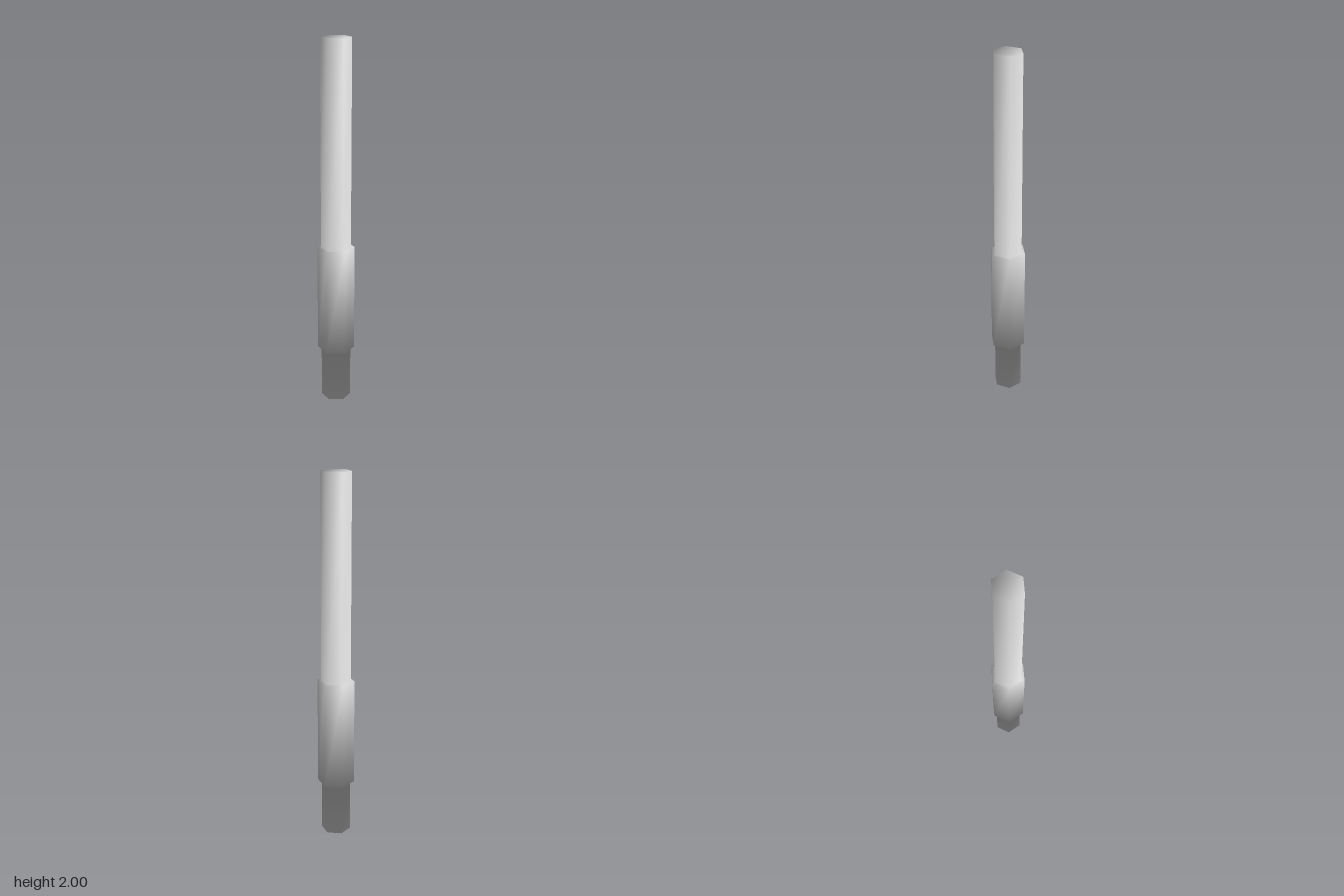
import * as THREE from 'three';

const SIDES = 6;

// Rings from bottom to top: height, corner radius and the vertical lean of the
// corner normals (caps and steps share smooth normals with the walls).
const RINGS = [
  { y: 0, r: 0.08, lean: -0.77 },
  { y: 0.295, r: 0.08, lean: -1.54 },
  { y: 0.295, r: 0.1, lean: -0.77 },
  { y: 0.89, r: 0.1, lean: 0.77 },
  { y: 0.89, r: 0.08, lean: 1.54 },
  { y: 2, r: 0.08, lean: 0.77 },
];

// Smooth hexagonal section through consecutive rings, with optional end caps
function hexSection(name, rings, { bottom = false, top = false } = {}) {
  const positions = [], normals = [], index = [];
  const normal = new THREE.Vector3();

  for (const { y, r, lean } of rings) {
    for (let i = 0; i < SIDES; i++) {
      const a = (i / SIDES) * Math.PI * 2;
      positions.push(r * Math.sin(a), y, r * Math.cos(a));
      normal.set(Math.sin(a), lean, Math.cos(a)).normalize();
      normals.push(normal.x, normal.y, normal.z);
    }
  }

  // Walls and steps
  for (let k = 0; k < rings.length - 1; k++) {
    for (let i = 0; i < SIDES; i++) {
      const j = (i + 1) % SIDES;
      const a = k * SIDES + i, b = k * SIDES + j;
      index.push(a, b, b + SIDES, a, b + SIDES, a + SIDES);
    }
  }

  // End caps
  const last = (rings.length - 1) * SIDES;
  for (let i = 1; i < SIDES - 1; i++) {
    if (bottom) index.push(0, i + 1, i);
    if (top) index.push(last, last + i, last + i + 1);
  }

  const geometry = new THREE.BufferGeometry();
  geometry.setAttribute('position', new THREE.Float32BufferAttribute(positions, 3));
  geometry.setAttribute('normal', new THREE.Float32BufferAttribute(normals, 3));
  geometry.setIndex(index);
  const mesh = new THREE.Mesh(geometry, new THREE.MeshStandardMaterial({ color: 0xcccccc }));
  mesh.name = name;
  return mesh;
}

export function createModel() {
  const group = new THREE.Group();
  group.name = 'hexRod';
  group.add(
    hexSection('lowerEnd', RINGS.slice(0, 2), { bottom: true }),
    hexSection('gripCollar', RINGS.slice(1, 5)), // includes both steps
    hexSection('upperShaft', RINGS.slice(4, 6), { top: true }),
  );
  return group;
}
